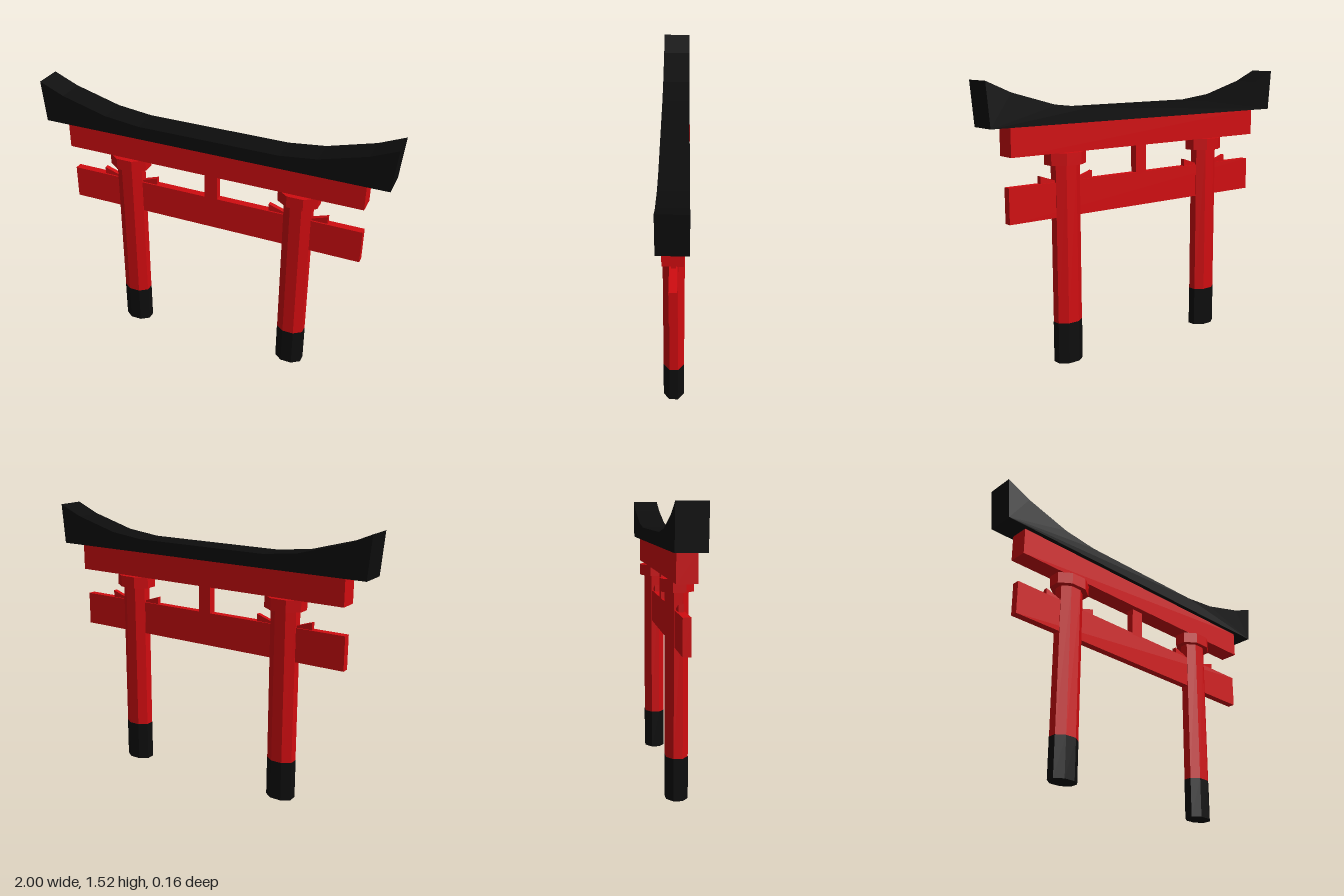
import * as THREE from 'three';

const red = new THREE.MeshStandardMaterial({ color: 0xd00c10, flatShading: true });
const black = new THREE.MeshStandardMaterial({ color: 0x0d0d0d, flatShading: true });

export function createModel() {
  const model = new THREE.Group();
  model.name = 'toriiGate';

  const add = (name, geometry, material) => {
    const mesh = new THREE.Mesh(geometry, material);
    mesh.name = name;
    model.add(mesh);
    return mesh;
  };

  // Box centred on x and z, between two heights
  const beam = (name, width, y0, y1, depth) =>
    add(name, new THREE.BoxGeometry(width, y1 - y0, depth).translate(0, (y0 + y1) / 2, 0), red);

  // Eight-sided post with flats to the front and sides, slightly flattened in z
  const post = (name, x, halfWidth, y0, y1, material) => {
    const r = halfWidth / Math.cos(Math.PI / 8);
    const g = new THREE.CylinderGeometry(r, r, y1 - y0, 8).rotateY(Math.PI / 8);
    g.scale(1, 1, 0.735).translate(x, (y0 + y1) / 2, 0);
    add(name, g, material);
  };

  // Outline in x, y extruded evenly about z = 0
  const slab = (name, points, depth, material) => {
    const shape = new THREE.Shape(points.map(([x, y]) => new THREE.Vector2(x, y)));
    const g = new THREE.ExtrudeGeometry(shape, { depth, bevelEnabled: false });
    add(name, g.translate(0, 0, -depth / 2), material);
  };

  // Roof beam with upswept ends
  const half = [[0.98, 1.295], [1, 1.525], [0.86, 1.465], [0.6, 1.393], [0.4, 1.37]];
  const mirrored = half.map(([x, y]) => [-x, y]).reverse();
  slab('roof', [...half, ...mirrored], 0.154, black);

  // Horizontal beams and the short strut between them
  beam('upperBeam', 1.714, 1.145, 1.297, 0.104);
  beam('lowerBeam', 1.714, 0.803, 0.99, 0.042);
  beam('centreStrut', 0.074, 0.98, 1.15, 0.042);

  for (const side of [-1, 1]) {
    const x = side * 0.5;
    const label = side > 0 ? 'left' : 'right';

    // Pillar with dark foot and collar
    post(label + 'Foot', x, 0.0775, 0, 0.225, black);
    post(label + 'Pillar', x, 0.0765, 0.225, 1.09, red);
    post(label + 'Collar', x, 0.11, 1.08, 1.145, red);

    // Wedges driven in on both sides of the pillar
    for (const dir of [-1, 1]) {
      const p = [[0.06, 0.98], [0.165, 0.98], [0.165, 1.03], [0.06, 0.995]];
      slab(label + 'Wedge', p.map(([dx, y]) => [x + dir * dx, y]), 0.025, red);
    }
  }
  return model;
}
